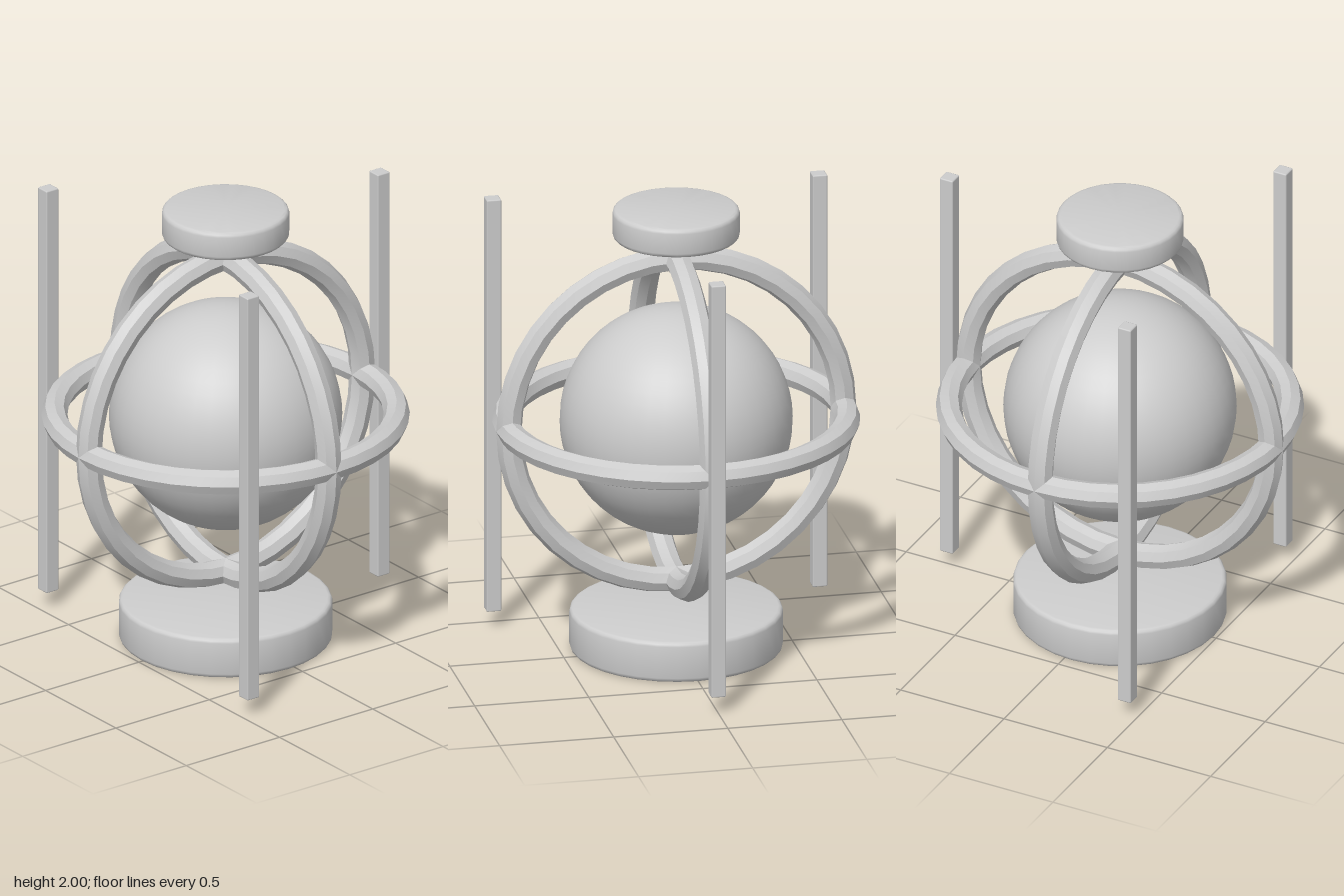
import * as THREE from 'three';
import { toCreasedNormals } from 'three/addons/utils/BufferGeometryUtils.js';
import { RoundedBoxGeometry } from 'three/addons/geometries/RoundedBoxGeometry.js';

export function createModel() {
  const model = new THREE.Group();
  model.name = 'cagedSphere';
  const grey = new THREE.MeshStandardMaterial({ color: 0xcccccc });
  grey.name = 'lightGrey';

  const axisX = -0.035;
  const midY = 1.04;

  function add(name, geometry, x, y, z) {
    const mesh = new THREE.Mesh(geometry, grey);
    mesh.name = name;
    mesh.position.set(x, y, z);
    model.add(mesh);
    return mesh;
  }

  // Flat disc with a rounded rim, standing on its own y = 0
  function disc(radius, height, bevel) {
    const points = [new THREE.Vector2(0, 0)];
    const steps = 3;
    for (let i = 0; i <= steps; i++) {
      const a = -Math.PI / 2 + (i / steps) * Math.PI / 2;
      points.push(new THREE.Vector2(radius - bevel + bevel * Math.cos(a), bevel + bevel * Math.sin(a)));
    }
    for (let i = 0; i <= steps; i++) {
      const a = (i / steps) * Math.PI / 2;
      points.push(new THREE.Vector2(radius - bevel + bevel * Math.cos(a), height - bevel + bevel * Math.sin(a)));
    }
    points.push(new THREE.Vector2(0, height));
    return toCreasedNormals(new THREE.LatheGeometry(points, 32), 0.6);
  }

  // Central ball
  add('coreSphere', new THREE.SphereGeometry(0.5, 40, 28), axisX, midY, 0);

  // Three crossing rings with octagonal section
  const ring = toCreasedNormals(new THREE.TorusGeometry(0.733, 0.056, 8, 40), 0.5);
  add('frontRing', ring, axisX, midY, 0);
  add('sideRing', ring, axisX, midY, 0).rotation.y = Math.PI / 2;
  add('equatorRing', ring, axisX, midY, 0).rotation.x = Math.PI / 2;

  // Base and cap discs
  add('baseDisc', disc(0.458, 0.183, 0.02), axisX, 0, 0);
  add('capDisc', disc(0.273, 0.13, 0.02), axisX, 1.87, 0);

  // Three upright posts spaced evenly around the axis
  const post = new RoundedBoxGeometry(0.065, 1.88, 0.065, 1, 0.006);
  for (let i = 0; i < 3; i++) {
    const a = (i / 3) * Math.PI * 2;
    add('post' + (i + 1), post, axisX + 0.825 * Math.cos(a), 1.015, 0.825 * Math.sin(a));
  }

  return model;
}
